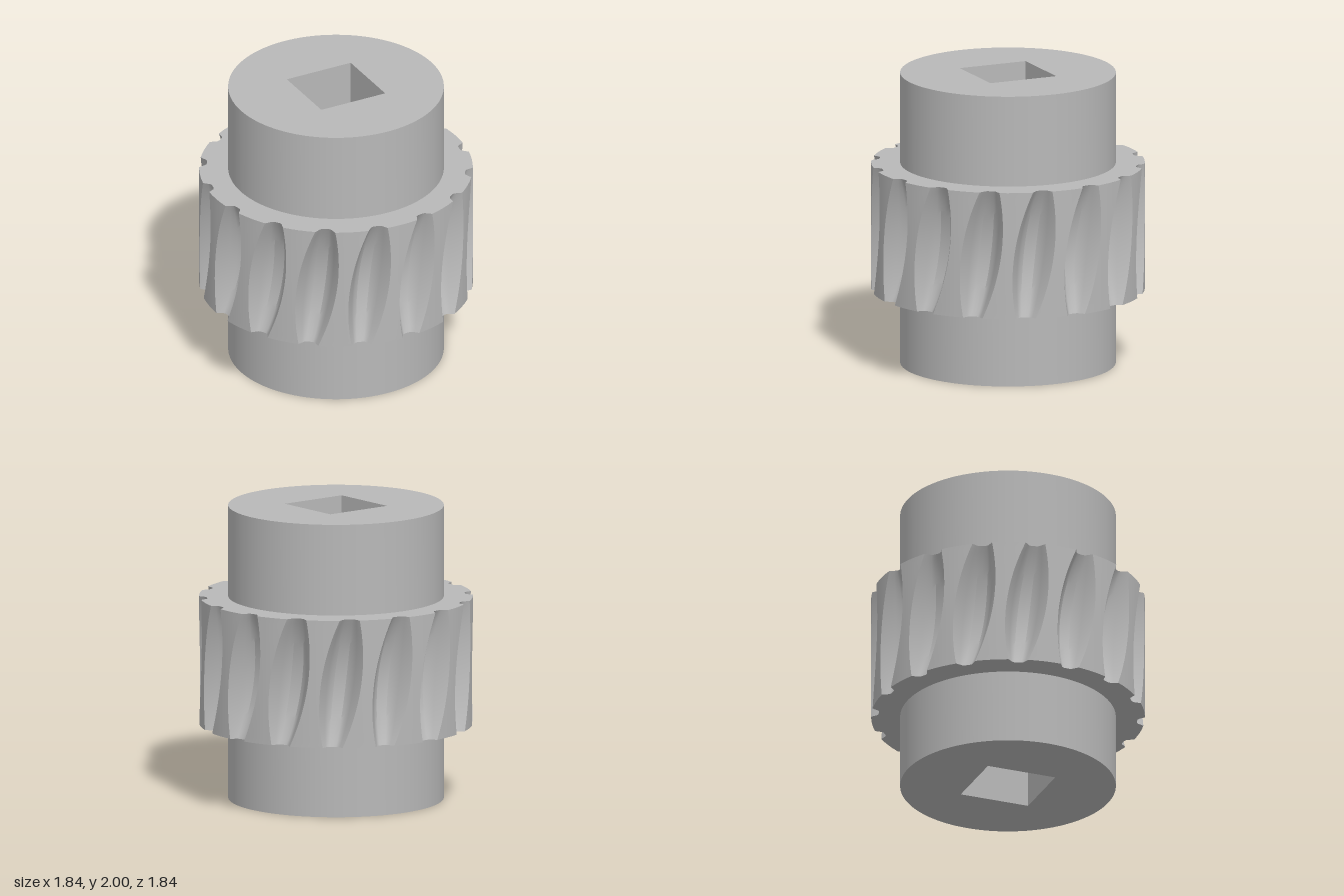
import * as THREE from 'three';
import { toCreasedNormals } from 'three/addons/utils/BufferGeometryUtils.js';

const TEETH = 16, RIM = 0.92, HUB = 0.725, Y0 = 0.51, Y1 = 1.38;
const rad = THREE.MathUtils.degToRad;

// Groove cross-section: [position across the groove, share of full depth]
const GROOVE = [[-1, 0], [-0.88, 0.22], [-0.72, 0.55], [-0.56, 0.84], [-0.35, 0.98], [0, 1],
  [0.35, 0.98], [0.56, 0.84], [0.72, 0.55], [0.88, 0.22], [1, 0]];

// Hub: full-height cylinder with a turned square bore
function hubGeometry() {
  const shape = new THREE.Shape().absarc(0, 0, HUB, 0, Math.PI * 2, false);
  const corners = [0, 1, 2, 3].map((k) => {
    const a = rad(-15 - 90 * k);
    return new THREE.Vector2(0.345 * Math.cos(a), 0.345 * Math.sin(a));
  });
  shape.holes.push(new THREE.Path(corners));
  const geo = new THREE.ExtrudeGeometry(shape, { depth: 2, bevelEnabled: false, curveSegments: 96 });
  geo.rotateX(-Math.PI / 2);
  return toCreasedNormals(geo, rad(30));
}

// One ring of the rim; t runs from -1 (bottom) to 1 (top)
function rimRing(t) {
  const bulge = 1 - t * t;
  const half = 4.2 + 4.3 * bulge;      // groove half width, degrees
  const depth = 0.05 + 0.11 * bulge;   // deepest where the worm meshes
  const pitch = 360 / TEETH, ring = [];
  for (let k = 0; k < TEETH; k++) {
    const centre = -6.5 + 3.6 * t + k * pitch;
    for (const [u, d] of GROOVE) ring.push([rad(centre + u * half), RIM - depth * d]);
    // tooth tip between two grooves
    for (const f of [0.25, 0.5, 0.75]) ring.push([rad(centre + half + f * (pitch - 2 * half)), RIM]);
  }
  return ring;
}

// Rim: rings stacked from the bottom cap, up the toothed face, to the top cap
function rimGeometry() {
  const STEPS = 24, pos = [], index = [];
  const count = TEETH * (GROOVE.length + 3);
  const addRow = (t, inner) => {
    const y = Y0 + (Y1 - Y0) * (t + 1) / 2;
    for (const [a, r] of rimRing(t)) {
      const q = inner ? HUB - 0.01 : r;
      pos.push(q * Math.sin(a), y, q * Math.cos(a));
    }
  };
  addRow(-1, true);
  for (let j = 0; j <= STEPS; j++) addRow(-1 + 2 * j / STEPS, false);
  addRow(1, true);
  for (let j = 0; j < STEPS + 2; j++) {
    for (let i = 0; i < count; i++) {
      const n = (i + 1) % count;
      const a = j * count + i, b = j * count + n, c = b + count, d = a + count;
      index.push(a, b, c, a, c, d);
    }
  }
  const geo = new THREE.BufferGeometry();
  geo.setAttribute('position', new THREE.Float32BufferAttribute(pos, 3));
  geo.setIndex(index);
  return toCreasedNormals(geo, rad(32));
}

export function createModel() {
  const group = new THREE.Group();
  group.name = 'wormWheel';
  const steel = new THREE.MeshStandardMaterial({ color: 0xb8b8b8 });
  steel.name = 'steel grey';

  const hub = new THREE.Mesh(hubGeometry(), steel);
  hub.name = 'hub';
  const rim = new THREE.Mesh(rimGeometry(), steel);
  rim.name = 'toothedRim';
  group.add(hub, rim);
  return group;
}
